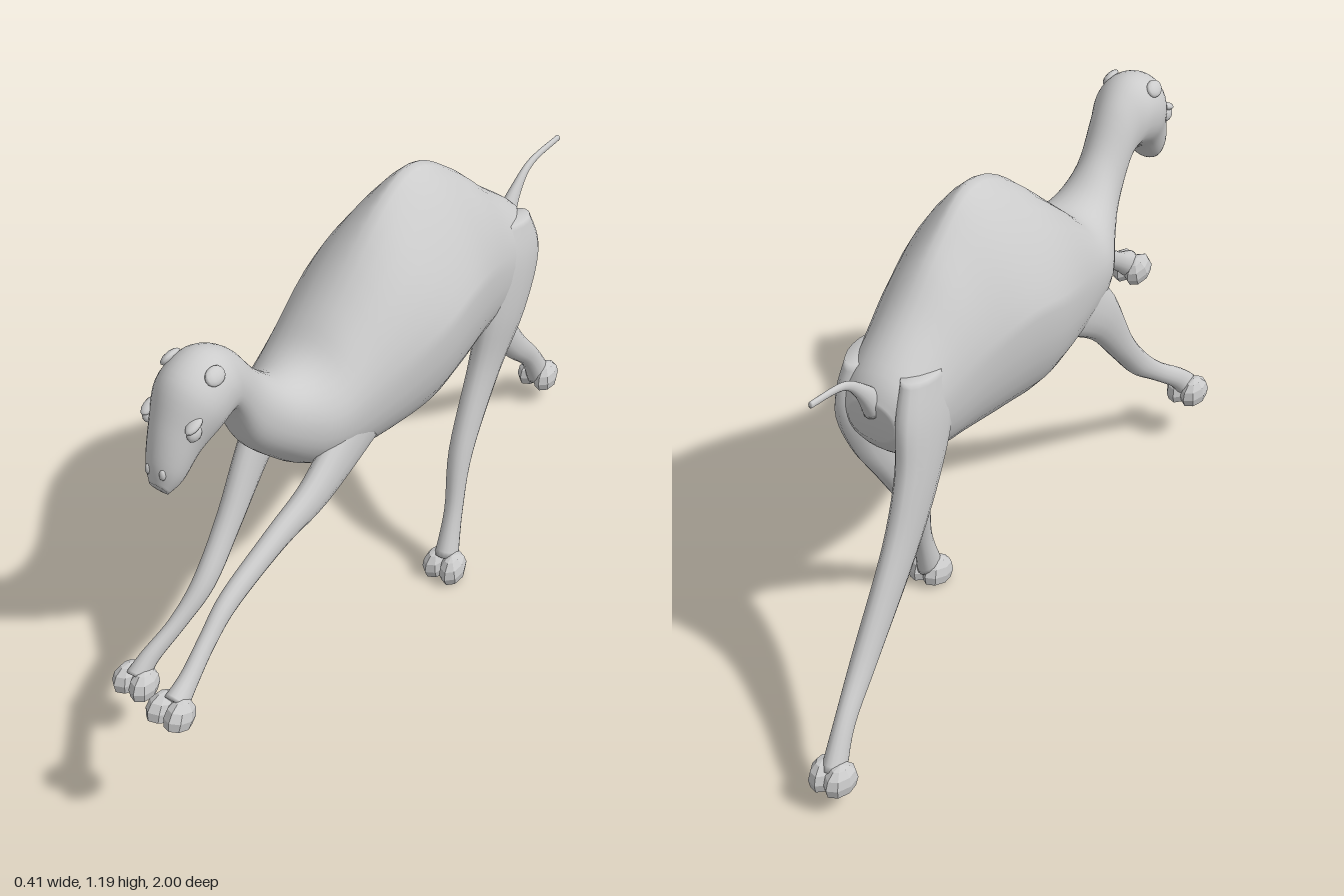
import * as THREE from 'three';

const material = new THREE.MeshStandardMaterial({ color: 0xcccccc });
const facetMaterial = new THREE.MeshStandardMaterial({ color: 0xcccccc, flatShading: true });

// Catmull-Rom step between rows i and i + 1
function smooth(rows, i, t) {
  const row = k => rows[Math.min(Math.max(k, 0), rows.length - 1)];
  const [p, a, b, n] = [row(i - 1), row(i), row(i + 1), row(i + 2)];
  return a.map((v, k) => v + 0.5 * t * (b[k] - p[k]
    + t * (2 * p[k] - 5 * v + 4 * b[k] - n[k] + t * (3 * (v - b[k]) + n[k] - p[k]))));
}

// Skin over cross-sections: edge A z, y; edge B z, y; half width; centre x
function loft(name, sections, segments, pointedness) {
  const steps = 5, rings = [], pos = [], index = [];
  for (let i = 0; i < sections.length - 1; i++) {
    for (let k = 0; k < steps; k++) rings.push(smooth(sections, i, k / steps));
  }
  rings.push(sections[sections.length - 1]);
  for (const [az, ay, bz, by, w, x] of rings) {
    const mz = (az + bz) / 2, my = (ay + by) / 2;
    for (let j = 0; j < segments; j++) {
      const angle = j / segments * Math.PI * 2;
      const c = Math.cos(angle), s = Math.sin(angle);
      const e = s > 0 ? pointedness(mz) : 0.92;
      const along = Math.sign(s) * Math.abs(s) ** e;
      pos.push(x + w * Math.sign(c) * Math.abs(c) ** e, my + (ay - my) * along, mz + (az - mz) * along);
    }
  }
  for (let i = 0; i < rings.length - 1; i++) {
    for (let j = 0; j < segments; j++) {
      const a = i * segments + j, b = i * segments + (j + 1) % segments;
      index.push(a, a + segments, b + segments, a, b + segments, b);
    }
  }
  // End caps
  const last = (rings.length - 1) * segments, pole = pos.length / 3;
  for (const r of [rings[0], rings[rings.length - 1]]) pos.push(r[5], (r[1] + r[3]) / 2, (r[0] + r[2]) / 2);
  for (let j = 0; j < segments; j++) {
    const n = (j + 1) % segments;
    index.push(pole, j, n, pole + 1, last + n, last + j);
  }
  const geometry = new THREE.BufferGeometry();
  geometry.setAttribute('position', new THREE.Float32BufferAttribute(pos, 3));
  geometry.setIndex(index);
  geometry.computeVertexNormals();
  const mesh = new THREE.Mesh(geometry, material);
  mesh.name = name;
  return mesh;
}

// Limb along a path of x, y, z, half depth; its width follows from the depth
function limb(name, path) {
  const sections = path.map(([x, y, z, d], i) => {
    const from = path[Math.max(i - 1, 0)], to = path[Math.min(i + 1, path.length - 1)];
    const dy = to[1] - from[1], dz = to[2] - from[2], k = d / Math.hypot(dy, dz);
    const width = Math.min(0.75 * d, 0.02 + 0.22 * d);
    return [z + dy * k, y - dz * k, z - dy * k, y + dz * k, width, x];
  });
  return loft(name, sections, 16, () => 1);
}

// Two-toed foot with a flat sole
function foot(name, x, y, z, pitch) {
  const group = new THREE.Group();
  group.name = name;
  const geometry = new THREE.SphereGeometry(1, 8, 6);
  const p = geometry.attributes.position;
  for (let i = 0; i < p.count; i++) p.setY(i, Math.max(p.getY(i), -0.6));
  for (const side of [-1, 1]) {
    const toe = new THREE.Mesh(geometry, facetMaterial);
    toe.name = 'toe';
    toe.position.x = side * 0.023;
    toe.rotation.y = side * 0.15;
    toe.scale.set(0.032, 0.045, 0.05);
    group.add(toe);
  }
  group.position.set(x, y, z);
  group.rotation.x = pitch;
  return group;
}

function blob(name, x, y, z, sx, sy, sz) {
  const mesh = new THREE.Mesh(new THREE.SphereGeometry(1, 12, 8), material);
  mesh.name = name;
  mesh.position.set(x, y, z);
  mesh.scale.set(sx, sy, sz);
  return mesh;
}

export function createModel() {
  const model = new THREE.Group();
  model.name = 'gallopingCamel';

  // Head, neck, trunk and rump in one skin; the hump narrows to a ridge
  const humpRidge = z => 1 + 0.55 * Math.exp(-(((z + 0.12) / 0.2) ** 2));
  model.add(loft('body', [
    [0.822, 0.855, 0.795, 0.815, 0.024, 0],
    [0.818, 0.91, 0.755, 0.835, 0.045, 0],
    [0.79, 0.995, 0.705, 0.885, 0.062, 0],
    [0.74, 1.085, 0.65, 0.918, 0.084, 0],
    [0.65, 1.117, 0.6, 0.93, 0.08, 0],
    [0.565, 1.075, 0.572, 0.89, 0.064, 0],
    [0.475, 0.967, 0.52, 0.785, 0.063, 0],
    [0.39, 0.905, 0.445, 0.705, 0.095, 0],
    [0.3, 0.905, 0.36, 0.64, 0.138, 0],
    [0.2, 0.985, 0.23, 0.59, 0.16, 0],
    [0, 1.15, 0, 0.567, 0.2, 0],
    [-0.15, 1.197, -0.15, 0.583, 0.19, 0],
    [-0.3, 1.11, -0.29, 0.6, 0.152, 0],
    [-0.42, 1.005, -0.4, 0.62, 0.128, 0],
    [-0.54, 0.91, -0.5, 0.67, 0.108, 0],
    [-0.578, 0.85, -0.56, 0.74, 0.06, 0],
  ], 32, humpRidge));

  // Forelegs reaching forward
  model.add(limb('leftForeleg', [
    [0.105, 0.72, 0.2, 0.09],
    [0.118, 0.625, 0.4, 0.053],
    [0.115, 0.578, 0.55, 0.035],
    [0.112, 0.51, 0.72, 0.03],
    [0.118, 0.455, 0.81, 0.026],
    [0.126, 0.404, 0.885, 0.028],
    [0.13, 0.368, 0.942, 0.037],
  ]));
  model.add(limb('rightForeleg', [
    [-0.105, 0.72, 0.2, 0.09],
    [-0.118, 0.625, 0.31, 0.065],
    [-0.112, 0.46, 0.44, 0.04],
    [-0.106, 0.342, 0.55, 0.034],
    [-0.12, 0.267, 0.638, 0.026],
    [-0.142, 0.207, 0.718, 0.028],
    [-0.152, 0.165, 0.757, 0.035],
  ]));

  // Hind legs, one under the body and one kicking back
  model.add(limb('leftHindLeg', [
    [0.075, 0.91, -0.47, 0.065],
    [0.085, 0.81, -0.46, 0.112],
    [0.09, 0.67, -0.415, 0.095],
    [0.083, 0.52, -0.353, 0.06],
    [0.09, 0.327, -0.247, 0.038],
    [0.105, 0.175, -0.197, 0.029],
    [0.116, 0.06, -0.153, 0.038],
  ]));
  model.add(limb('rightHindLeg', [
    [-0.075, 0.9, -0.47, 0.07],
    [-0.085, 0.79, -0.48, 0.105],
    [-0.095, 0.655, -0.53, 0.083],
    [-0.096, 0.497, -0.615, 0.06],
    [-0.095, 0.298, -0.765, 0.04],
    [-0.106, 0.185, -0.877, 0.031],
    [-0.115, 0.09, -0.942, 0.038],
  ]));

  // Feet
  model.add(foot('leftForefoot', 0.126, 0.35, 0.952, -0.35));
  model.add(foot('rightForefoot', -0.155, 0.148, 0.758, -0.1));
  model.add(foot('leftHindFoot', 0.12, 0.034, -0.142, 0.15));
  model.add(foot('rightHindFoot', -0.115, 0.08, -0.949, 0.05));

  // Tail streaming behind
  model.add(limb('tail', [
    [0, 0.83, -0.55, 0.035],
    [0, 0.9, -0.605, 0.018],
    [0.002, 0.95, -0.67, 0.01],
    [0.008, 0.968, -0.785, 0.008],
  ]));

  // Paired face details
  for (const side of [-1, 1]) {
    const ear = blob('ear', side * 0.062, 1.085, 0.675, 0.012, 0.022, 0.03);
    ear.rotation.z = side * 0.6;
    const eye = blob('eye', side * 0.062, 0.978, 0.752, 0.013, 0.02, 0.022);
    const brow = blob('brow', side * 0.062, 1.0, 0.752, 0.015, 0.01, 0.028);
    brow.rotation.x = 0.4;
    const nostril = blob('nostril', side * 0.02, 0.885, 0.815, 0.008, 0.014, 0.008);
    model.add(ear, eye, brow, nostril);
  }
  return model;
}
